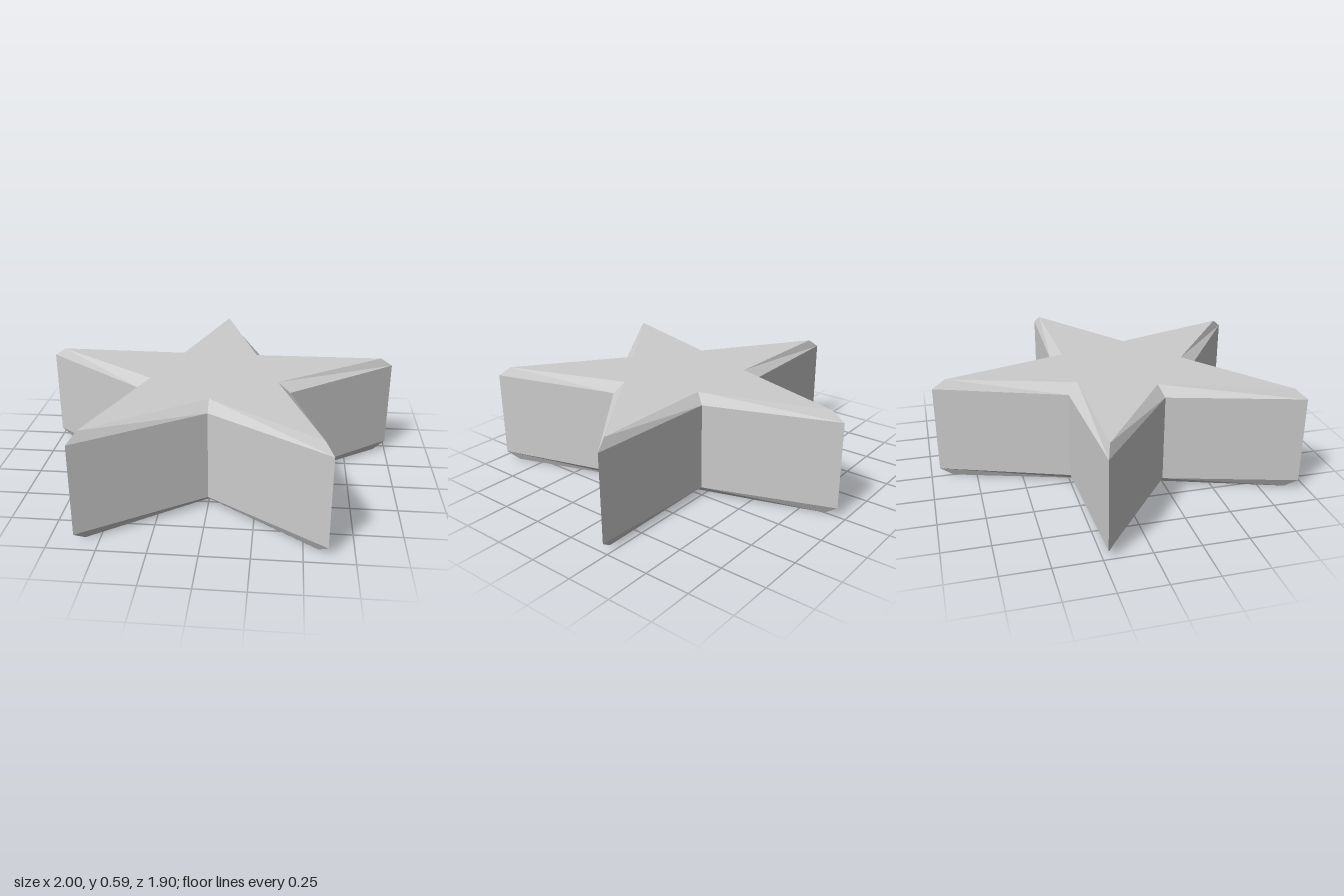
import * as THREE from 'three';

const TIP = 1.0515, NOTCH = 0.435, BEVEL = 0.072, CENTRE_Z = 0.1;
const HEIGHT = 0.588, BEVEL_H = 0.05;

// Ten corners of a five-pointed star at height y, one tip pointing to the back
function starRing(inset, y) {
  return Array.from({ length: 10 }, (_, i) => {
    const a = (i * Math.PI) / 5;
    const r = (i % 2 ? NOTCH : TIP) - inset;
    return new THREE.Vector3(r * Math.sin(a), y, CENTRE_Z - r * Math.cos(a));
  });
}

// Flat quads joining two rings; normals point outward, or inward if asked
function band(lower, upper, inward = false) {
  const points = [];
  lower.forEach((a, i) => {
    const j = (i + 1) % lower.length;
    const b = lower[j], c = upper[j], d = upper[i];
    points.push(...(inward ? [a, b, c, a, c, d] : [a, d, c, a, c, b]));
  });
  const geometry = new THREE.BufferGeometry().setFromPoints(points);
  geometry.computeVertexNormals();
  return geometry;
}

// Flat star closing a ring, facing up (1) or down (-1)
function cap(ring, facing) {
  const shape = new THREE.Shape(ring.map(p => new THREE.Vector2(p.x, -facing * p.z)));
  return new THREE.ShapeGeometry(shape)
    .rotateX((-facing * Math.PI) / 2)
    .translate(0, ring[0].y, 0);
}

export function createModel() {
  const group = new THREE.Group();
  group.name = 'star';
  const grey = new THREE.MeshStandardMaterial({ color: 0xcccccc, side: THREE.DoubleSide });
  grey.name = 'light grey';

  const add = (name, geometry) => {
    const mesh = new THREE.Mesh(geometry, grey);
    mesh.name = name;
    group.add(mesh);
  };

  const bottom = starRing(BEVEL, 0);
  const wallBottom = starRing(0, BEVEL_H);
  const wallTop = starRing(0, HEIGHT - BEVEL_H);
  const top = starRing(BEVEL, HEIGHT);

  // Upright sides and flat faces
  add('sideWalls', band(wallBottom, wallTop));
  add('topFace', cap(top, 1));
  add('bottomFace', cap(bottom, -1));

  // Bevels, wound inward and double-sided
  add('topBevel', band(wallTop, top, true));
  add('bottomBevel', band(bottom, wallBottom, true));

  return group;
}
